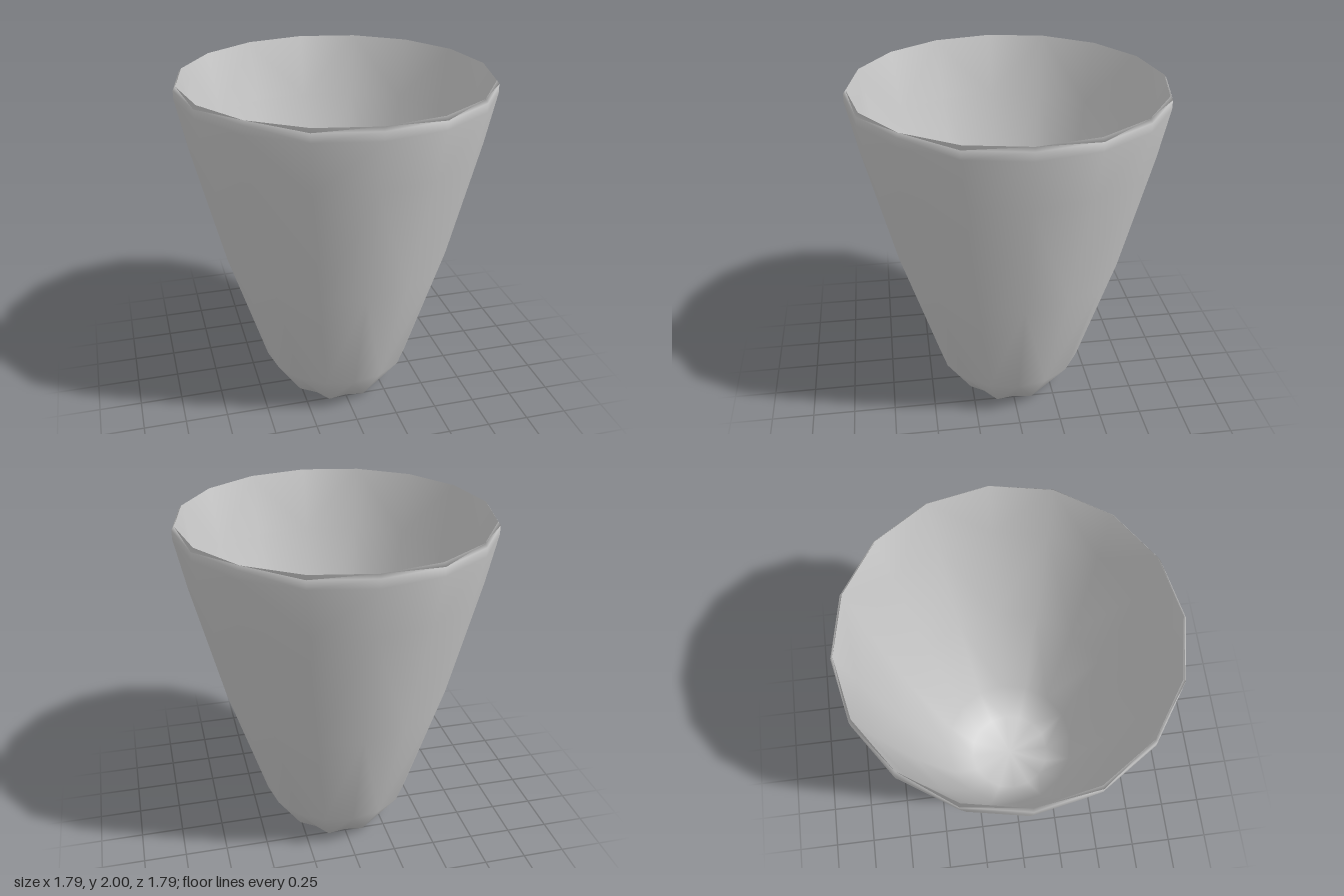
import * as THREE from 'three';
import { mergeVertices } from 'three/addons/utils/BufferGeometryUtils.js';

const SIDES = 16;

// Closed shell from rings [radius, height, scale of every second corner].
// Diagonals alternate so each pair of sides is a mirror image.
function shellGeometry(rings) {
  const positions = [];
  const index = [];
  rings.forEach(([radius, y, notch = 1], j) => {
    for (let i = 0; i < SIDES; i++) {
      const angle = (i / SIDES) * Math.PI * 2;
      const r = i % 2 === 0 ? radius * notch : radius;
      positions.push(r * Math.sin(angle), y, r * Math.cos(angle));
      if (j === rings.length - 1) continue;
      const next = (i + 1) % SIDES;
      const a = j * SIDES + i;
      const b = j * SIDES + next;
      const c = b + SIDES;
      const d = a + SIDES;
      if (i % 2 === 0) index.push(a, b, d, c, d, b);
      else index.push(a, b, c, a, c, d);
    }
  });
  let geometry = new THREE.BufferGeometry();
  geometry.setAttribute('position', new THREE.Float32BufferAttribute(positions, 3));
  geometry.setIndex(index);
  geometry = mergeVertices(geometry, 1e-4);
  geometry.computeVertexNormals();
  return geometry;
}

export function createModel() {
  const group = new THREE.Group();
  group.name = 'cup';
  const material = new THREE.MeshStandardMaterial({ color: 0xcccccc });

  const rings = [
    // notched foot and outer wall
    [0, 0], [0.283, 0, 0.86], [0.44, 0.23], [0.66, 0.93], [0.835, 1.64],
    // bevelled lip
    [0.895, 1.93], [0.895, 1.98], [0.88, 2],
    // inner wall and rounded floor
    [0.815, 1.64], [0.645, 0.93], [0.42, 0.24], [0.26, 0.04], [0, 0.04],
  ];
  const shell = new THREE.Mesh(shellGeometry(rings), material);
  shell.name = 'cupShell';
  group.add(shell);
  return group;
}
